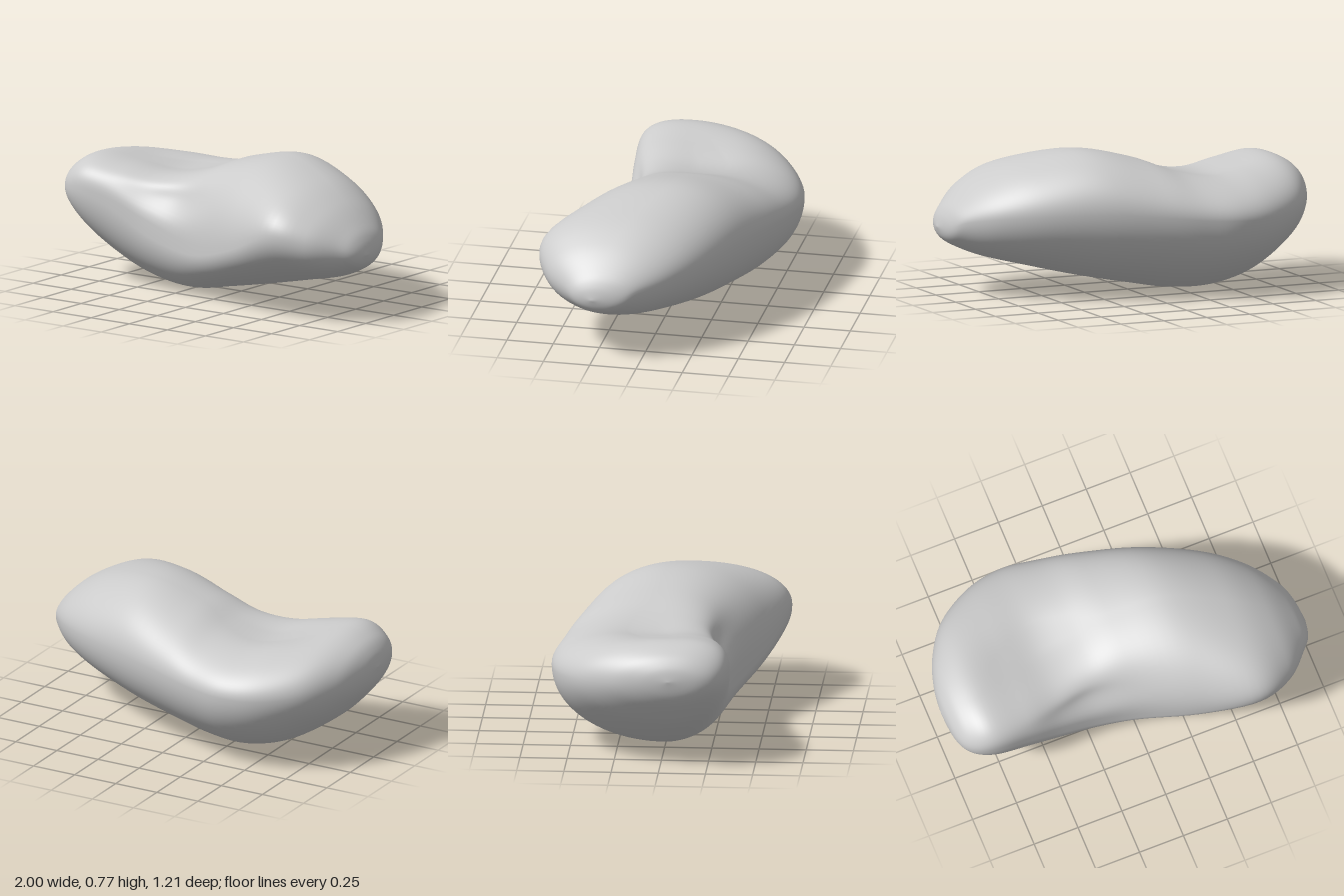
import * as THREE from 'three';
import { mergeVertices } from 'three/addons/utils/BufferGeometryUtils.js';

// Sections along the length:
// x, top (y, z), bottom (y, z), back (z, y), front (z, y), squareness of the upper front
const SECTIONS = [
  [-1.00, 0.50, 0.05, 0.50, 0.05, 0.05, 0.50, 0.05, 0.50, 2.0],
  [-0.98, 0.575, 0.06, 0.41, 0.05, -0.10, 0.49, 0.22, 0.50, 2.1],
  [-0.92, 0.64, 0.06, 0.32, 0.04, -0.27, 0.47, 0.315, 0.50, 2.3],
  [-0.80, 0.68, 0.06, 0.20, 0.03, -0.44, 0.45, 0.36, 0.50, 2.8],
  [-0.60, 0.655, -0.08, 0.07, 0.00, -0.565, 0.43, 0.35, 0.43, 3.7],
  [-0.40, 0.63, -0.18, 0.01, 0.00, -0.605, 0.43, 0.335, 0.32, 4.0],
  [-0.20, 0.655, -0.14, 0.005, 0.03, -0.575, 0.44, 0.34, 0.26, 3.3],
  [0.00, 0.72, -0.07, 0.04, 0.02, -0.525, 0.46, 0.385, 0.26, 2.6],
  [0.30, 0.775, -0.03, 0.10, 0.02, -0.425, 0.48, 0.51, 0.35, 2.25],
  [0.60, 0.715, 0.09, 0.17, 0.08, -0.29, 0.47, 0.60, 0.47, 2.15],
  [0.80, 0.62, 0.17, 0.22, 0.15, -0.15, 0.45, 0.53, 0.43, 2.1],
  [0.93, 0.51, 0.20, 0.275, 0.20, 0.00, 0.42, 0.40, 0.40, 2.0],
  [0.98, 0.44, 0.22, 0.315, 0.22, 0.10, 0.38, 0.33, 0.38, 2.0],
  [1.00, 0.37, 0.24, 0.37, 0.24, 0.24, 0.37, 0.24, 0.37, 2.0],
];

// Smooth blend between neighbouring sections
function sectionAt(t) {
  const last = SECTIONS.length - 1;
  const i = Math.min(Math.floor(t), last - 1), f = t - i;
  const row = (k) => SECTIONS[Math.max(0, Math.min(last, k))];
  const [a, b, c, d] = [row(i - 1), row(i), row(i + 1), row(i + 2)];
  return b.map((v, k) => v + 0.5 * f * (c[k] - a[k]
    + f * (2 * a[k] - 5 * v + 4 * c[k] - d[k] + f * (3 * (v - c[k]) + d[k] - a[k]))));
}

const bump = (value, centre, width) => Math.exp(-(((value - centre) / width) ** 2));

// A point on a section: four curved quarters joining front, top, back and bottom
function surfacePoint(s, angle) {
  const [x, topY, topZ, lowY, lowZ, backZ, backY, frontZ, frontY, square] = s;
  const c = Math.cos(angle), n = Math.sin(angle);
  const isFront = c >= 0, isTop = n >= 0;
  const e = isFront && isTop ? 2 / square : 1;
  const u = Math.pow(Math.abs(c), e), v = Math.pow(Math.abs(n), e);
  const midZ = isTop ? topZ : lowZ, midY = isFront ? frontY : backY;
  let z = midZ + ((isFront ? frontZ : backZ) - midZ) * u;
  let y = midY + ((isTop ? topY : lowY) - midY) * v;
  // Shallow dish in the upper surface
  if (isTop) y -= 0.025 * v * bump(x, -0.47, 0.28) * bump(z, -0.08, 0.17);
  // Hollow under the front rim
  if (isTop && isFront) z -= 0.05 * u * bump(x, -0.25, 0.24) * bump(v, 0.65, 0.22);
  return [x, y, z];
}

export function createModel() {
  const group = new THREE.Group();
  const steps = (SECTIONS.length - 1) * 6, around = 96;
  const positions = [], index = [];
  for (let i = 0; i <= steps; i++) {
    const s = sectionAt(i / 6);
    for (let j = 0; j < around; j++) {
      positions.push(...surfacePoint(s, (j / around) * Math.PI * 2));
    }
  }
  for (let i = 0; i < steps; i++) {
    for (let j = 0; j < around; j++) {
      const a = i * around + j, b = i * around + (j + 1) % around;
      index.push(a, a + around, b + around, a, b + around, b);
    }
  }
  let geometry = new THREE.BufferGeometry();
  geometry.setAttribute('position', new THREE.Float32BufferAttribute(positions, 3));
  geometry.setIndex(index);
  geometry = mergeVertices(geometry, 1e-5);
  geometry.computeVertexNormals();

  const body = new THREE.Mesh(geometry, new THREE.MeshStandardMaterial({ color: 0xcccccc }));
  body.name = 'body';
  group.add(body);
  return group;
}
